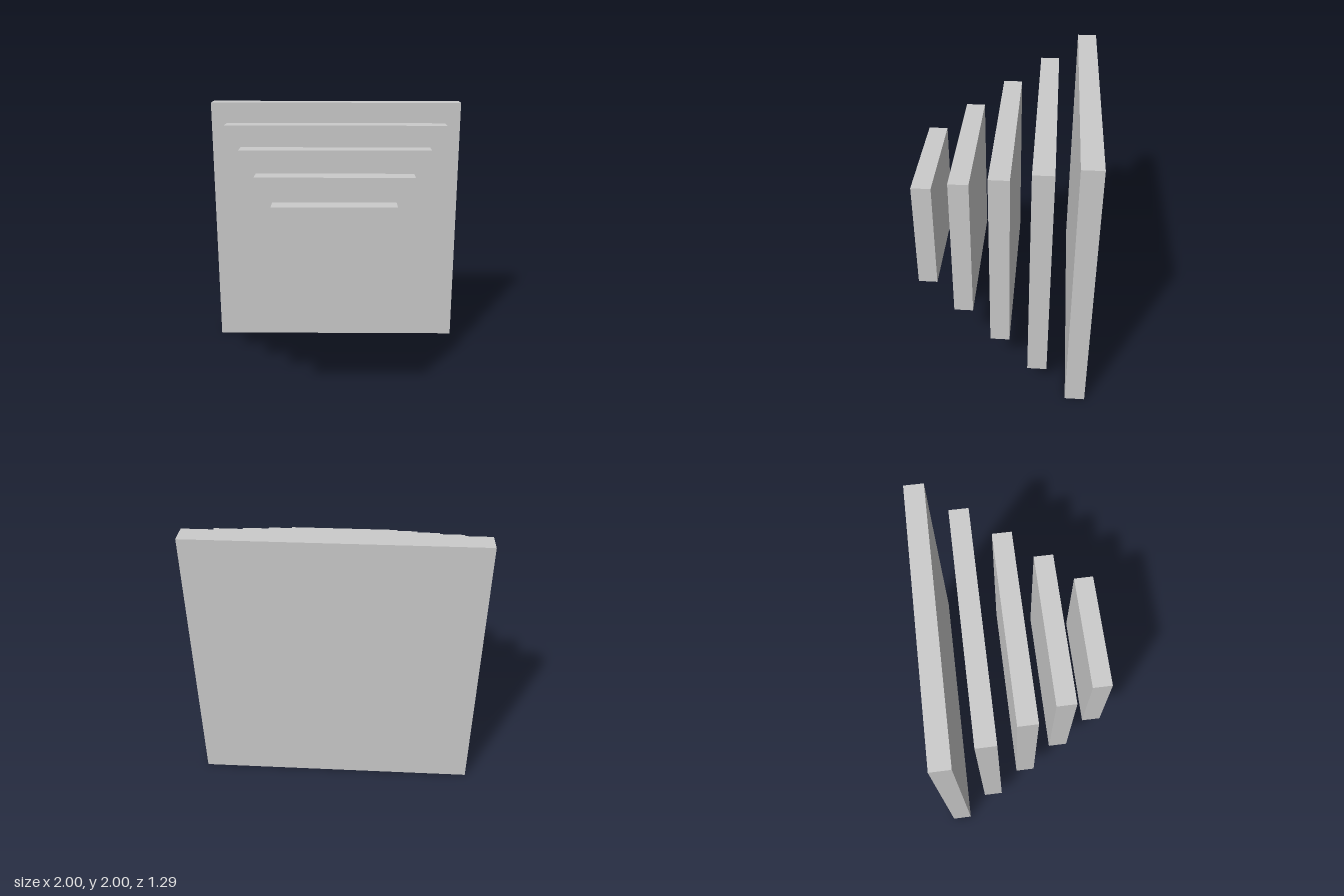
import * as THREE from 'three';

const UNIT = 1 / 7; // slab thickness; gaps are equally thick
const COUNT = 5;

export function createModel() {
  const model = new THREE.Group();
  model.name = 'steppedSlabs';
  const material = new THREE.MeshStandardMaterial({ color: 0xcccccc });

  // Upright square slabs, shrinking evenly from back to front
  for (let i = 0; i < COUNT; i++) {
    const size = 2 - 2 * UNIT * i;
    const slab = new THREE.Mesh(new THREE.BoxGeometry(size, size, UNIT), material);
    slab.name = `slab${i + 1}`;
    slab.position.set(0, 1, 2 * UNIT * (i - (COUNT - 1) / 2));
    model.add(slab);
  }
  return model;
}
